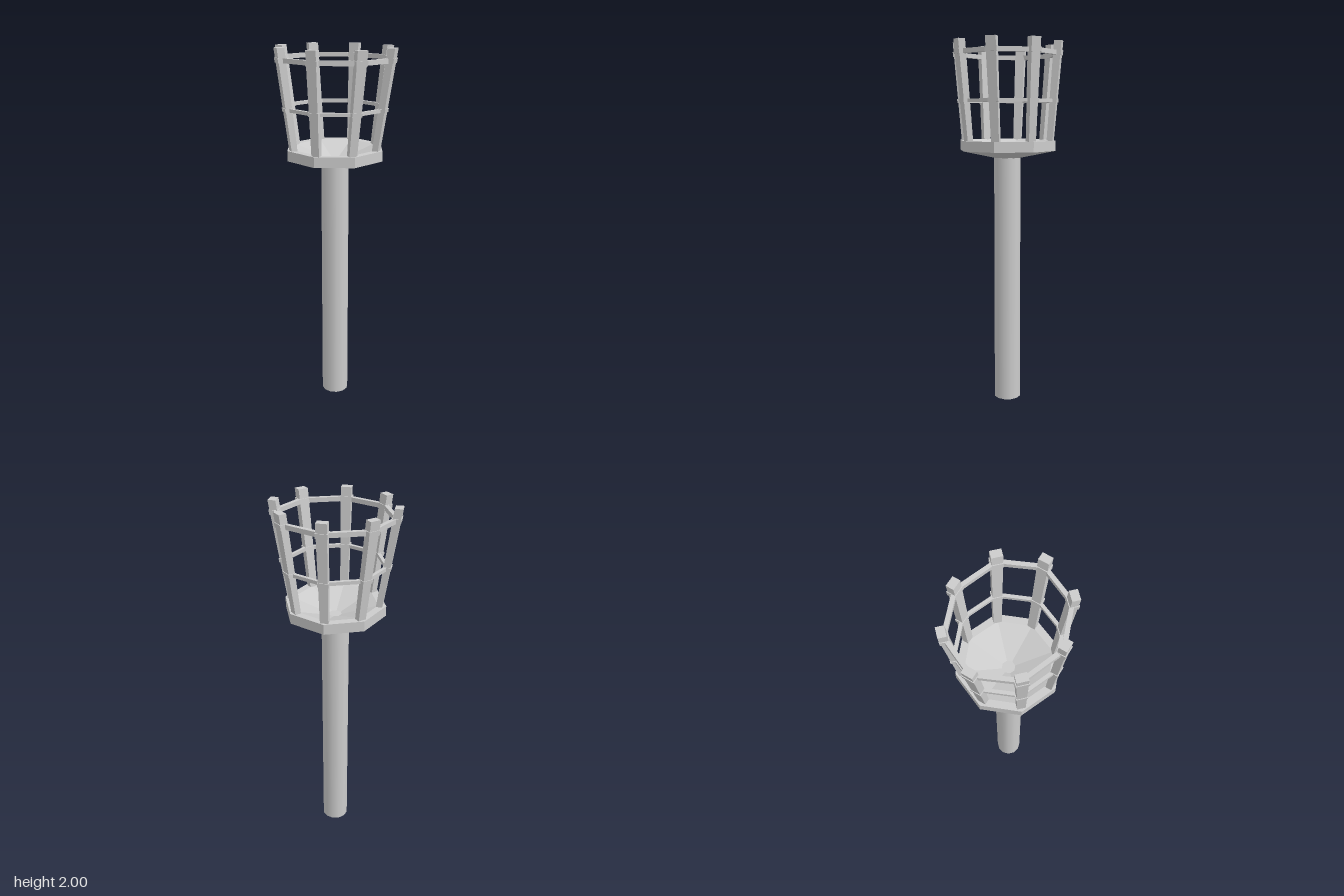
import * as THREE from 'three';

const material = new THREE.MeshStandardMaterial({ color: 0xcccccc, flatShading: true });
const smoothMaterial = new THREE.MeshStandardMaterial({ color: 0xcccccc, side: THREE.DoubleSide });
const SIDES = 8, BASE_Y = 1.45, TOP_Y = 2;
const { lerp } = THREE.MathUtils;

// Centre of a leaning post at a given height; the basket opens wider in x than in z
function postCentre(i, y) {
  const a = (i / SIDES) * Math.PI * 2, t = (y - BASE_Y) / (TOP_Y - BASE_Y);
  return new THREE.Vector3(Math.cos(a) * lerp(0.231, 0.313, t), y, Math.sin(a) * lerp(0.238, 0.28, t));
}

// Six-sided block whose corners are placed by a rule of (-1|1, -1|1, -1|1)
function block(name, rule) {
  const geometry = new THREE.BoxGeometry(2, 2, 2);
  const pos = geometry.attributes.position;
  for (let i = 0; i < pos.count; i++) {
    const p = rule(pos.getX(i), pos.getY(i), pos.getZ(i));
    pos.setXYZ(i, p.x, p.y, p.z);
  }
  geometry.computeVertexNormals();
  const mesh = new THREE.Mesh(geometry, material);
  mesh.name = name;
  return mesh;
}

// Length of post between two heights, thickening towards the top; grow makes a collar
function postPiece(name, i, y0, y1, grow = 0) {
  const a = (i / SIDES) * Math.PI * 2;
  return block(name, (r, v, s) => {
    const y = v < 0 ? y0 : y1, t = (y - BASE_Y) / (TOP_Y - BASE_Y);
    const radial = r * (lerp(0.016, 0.02, t) + grow);
    const across = -s * (lerp(0.021, 0.0275, t) + grow);
    const p = postCentre(i, y);
    p.x += Math.cos(a) * radial + Math.sin(a) * across;
    p.z += Math.sin(a) * radial - Math.cos(a) * across;
    return p;
  });
}

// Flat bar from one post to the next
function hoopBar(i, y, half, depth) {
  return block('hoopBar', (r, v, s) => {
    const p = postCentre(s < 0 ? i : i + 1, y);
    const k = 1 + (r * depth) / Math.hypot(p.x, p.z);
    return new THREE.Vector3(p.x * k, y + v * half, p.z * k);
  });
}

export function createModel() {
  const model = new THREE.Group();
  model.name = 'beacon';

  // Hollow pole
  const pole = new THREE.Mesh(new THREE.CylinderGeometry(0.075, 0.075, 1.39, 12, 1, true), smoothMaterial);
  pole.position.y = 0.695;
  pole.name = 'pole';
  model.add(pole);

  // Octagonal dish with a sunken floor
  const profile = [[0, 1.38], [0.075, 1.38], [0.27, 1.42], [0.27, 1.475], [0.228, 1.475], [0.035, 1.405], [0, 1.405]]
    .map(([x, y]) => new THREE.Vector2(x, y));
  const dish = new THREE.Mesh(new THREE.LatheGeometry(profile, SIDES), material);
  dish.name = 'dish';
  model.add(dish);

  // Leaning posts
  const posts = new THREE.Group();
  posts.name = 'posts';
  for (let i = 0; i < SIDES; i++) posts.add(postPiece('post', i, BASE_Y, TOP_Y));
  model.add(posts);

  // Two hoops, with a collar where each crosses a post
  for (const [name, y, half, depth] of [['lowerHoop', 1.688, 0.009, 0.01], ['upperHoop', 1.938, 0.012, 0.012]]) {
    const hoop = new THREE.Group();
    hoop.name = name;
    for (let i = 0; i < SIDES; i++) {
      hoop.add(hoopBar(i, y, half, depth));
      hoop.add(postPiece('collar', i, y - half - 0.001, y + half + 0.001, 0.004));
    }
    model.add(hoop);
  }
  return model;
}
